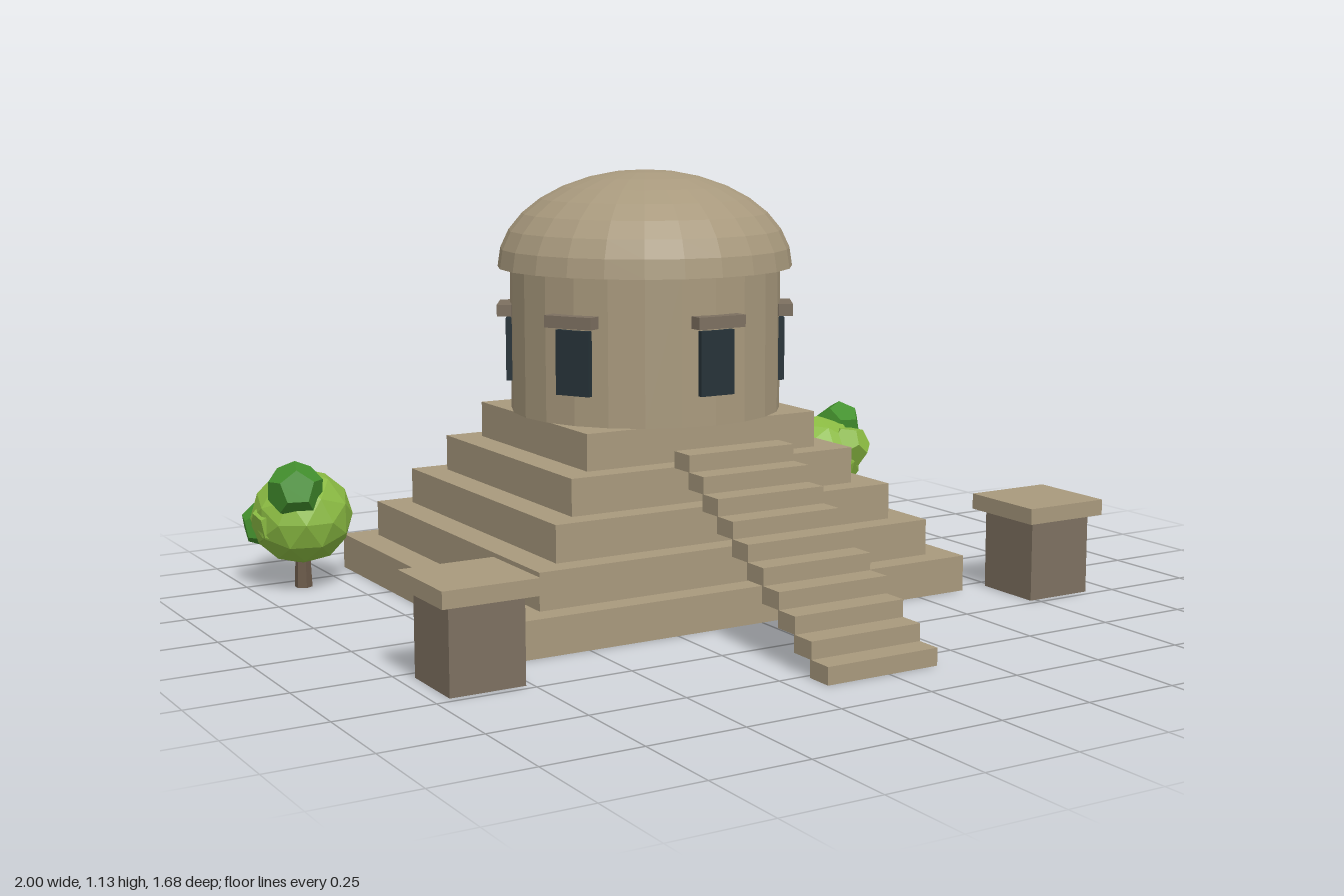
import * as THREE from 'three';

const CX = -0.0175, CZ = -0.27;

function mat(name, color, flat = true) {
  const m = new THREE.MeshStandardMaterial({ color, flatShading: flat });
  m.name = name;
  return m;
}

export function createModel() {
  const root = new THREE.Group();
  root.name = 'domedTemple';
  const stone = mat('stone', 0xa8997d);
  const darkStone = mat('darkStone', 0x7d7060);
  const glass = mat('darkWindow', 0x263238);
  const leaf = mat('lightLeaf', 0x8aba42);
  const darkLeaf = mat('darkLeaf', 0x43902d);
  const bark = mat('bark', 0x6b5a4a);

  function add(parent, name, geometry, material, x, y, z) {
    const mesh = new THREE.Mesh(geometry, material);
    mesh.name = name;
    mesh.position.set(x, y, z);
    parent.add(mesh);
    return mesh;
  }
  const box = (w, h, d) => new THREE.BoxGeometry(w, h, d);

  // Stepped base
  const tierH = 0.0968;
  for (let i = 0; i < 5; i++) {
    const w = 1.33 - i * 0.158, d = 1.13 - i * 0.1285;
    add(root, 'baseTier', box(w, tierH, d), stone, CX, (i + 0.5) * tierH, CZ);
  }

  // Floating front stairs
  for (let i = 0; i < 10; i++) {
    add(root, 'stairStep', box(0.315, 0.044, 0.073), stone, CX, (i + 0.5) * 0.044, 0.803 - i * 0.0684);
  }

  // Round hall
  add(root, 'drum', new THREE.CylinderGeometry(0.367, 0.367, 0.39, 24), stone, CX, 0.679, CZ);

  // Dome with a closed underside
  const profile = [new THREE.Vector2(0, 0)];
  for (let i = 0; i <= 8; i++) {
    const a = (i / 8) * Math.PI / 2;
    profile.push(new THREE.Vector2(i === 8 ? 0 : 0.4 * Math.cos(a), 0.26 * Math.sin(a)));
  }
  add(root, 'dome', new THREE.LatheGeometry(profile, 24), stone, CX, 0.872, CZ);

  // Six windows with lintels around the drum
  for (let i = 0; i < 6; i++) {
    const bay = new THREE.Group();
    bay.name = 'windowBay';
    bay.position.set(CX, 0, CZ);
    bay.rotation.y = i * Math.PI / 3;
    add(bay, 'windowPanel', box(0.1, 0.17, 0.02), glass, 0, 0.649, 0.367);
    add(bay, 'lintel', box(0.14, 0.032, 0.04), darkStone, 0, 0.757, 0.379);
    root.add(bay);
  }

  // Pedestals either side of the stairs
  for (const s of [-1, 1]) {
    const pedestal = new THREE.Group();
    pedestal.name = 'pedestal';
    pedestal.position.set(CX + s * 0.845, 0, 0.383);
    add(pedestal, 'pedestalBody', box(0.192, 0.215, 0.192), darkStone, 0, 0.1075, 0);
    add(pedestal, 'pedestalCap', box(0.245, 0.042, 0.245), stone, 0, 0.235, 0);
    root.add(pedestal);
  }

  // Trees: trunk, main crown, then small clumps [x, y, z, radius, material]
  function tree(x, z, clumps, turn) {
    const g = new THREE.Group();
    g.name = 'tree';
    g.position.set(x, 0, z);
    add(g, 'trunk', new THREE.CylinderGeometry(0.019, 0.024, 0.12, 6), bark, 0, 0.06, 0);
    const crown = add(g, 'crown', new THREE.IcosahedronGeometry(0.138, 1), leaf, 0, 0.197, 0);
    crown.scale.y = 0.95;
    crown.rotation.y = turn;
    clumps.forEach(([cx, cy, cz, r, m], i) => {
      const c = add(g, 'leafClump', new THREE.DodecahedronGeometry(r, 0), m, cx, cy, cz);
      c.rotation.set(i * 0.7, turn + i, 0.3);
    });
    root.add(g);
  }
  tree(0.83, -0.67, [
    [0.09, 0.288, -0.015, 0.077, darkLeaf],
    [0.06, 0.24, 0.085, 0.068, leaf],
    [-0.08, 0.165, -0.075, 0.07, darkLeaf],
    [-0.06, 0.23, -0.065, 0.07, leaf],
  ], 0.4);
  tree(-0.863, -0.68, [
    [-0.045, 0.288, 0.08, 0.077, darkLeaf],
    [0.01, 0.25, -0.095, 0.068, leaf],
    [-0.08, 0.17, -0.075, 0.065, darkLeaf],
    [-0.075, 0.19, 0.01, 0.07, leaf],
  ], 1.3);

  return root;
}
